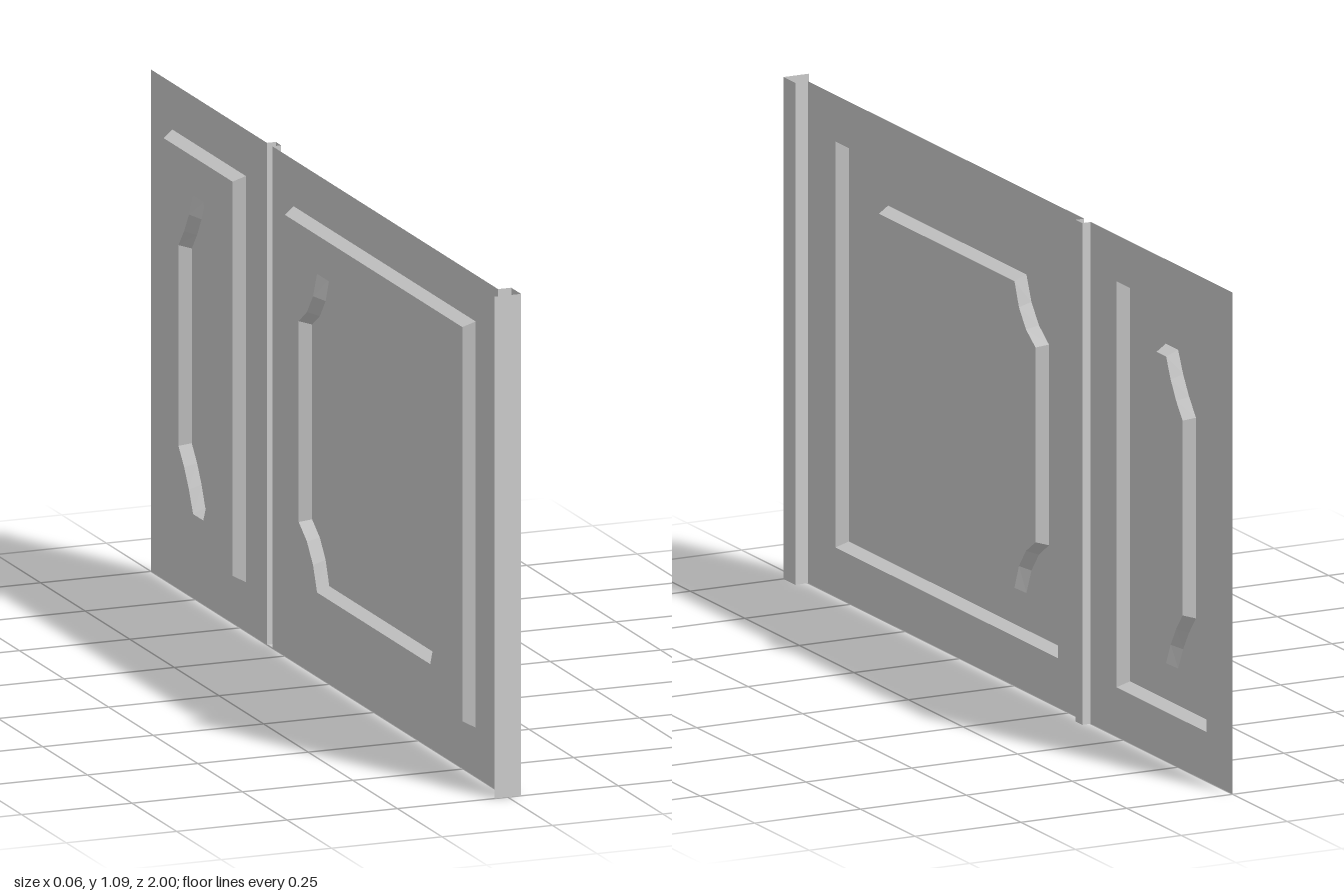
import * as THREE from 'three';

const HEIGHT = 1.09, DEPTH = 0.025, BEVEL = 0.013;
const material = new THREE.MeshStandardMaterial({ color: 0xcccccc, flatShading: true, side: THREE.DoubleSide });

function addMesh(parent, geometry, name) {
  const mesh = new THREE.Mesh(geometry, material);
  mesh.name = name;
  parent.add(mesh);
}

// Outlines are drawn with u = -z across and y up
const rect = (u0, u1, y0, y1, inset = 0) => [
  [u0 + inset, y0 + inset], [u1 - inset, y0 + inset],
  [u1 - inset, y1 - inset], [u0 + inset, y1 - inset],
].map(([u, y]) => new THREE.Vector2(u, y));

// Rectangle with gently scooped corners
function scooped({ u0, u1, y0, y1, cutU, cutY, bulge }, inset = 0) {
  const cu = (u0 + u1) / 2, cy = (y0 + y1) / 2;
  const a = (u1 - u0) / 2 - inset, b = (y1 - y0) / 2 - inset;
  const ca = cutU - inset / 2, cb = cutY - inset / 2;
  const points = [];
  for (const [su, sy] of [[1, 1], [-1, 1], [-1, -1], [1, -1]]) {
    const corner = new THREE.QuadraticBezierCurve(
      new THREE.Vector2(cu + su * a, cy + sy * (b - cb)),
      new THREE.Vector2(cu + su * (a - ca / 2 - bulge), cy + sy * (b - cb / 2 - bulge)),
      new THREE.Vector2(cu + su * (a - ca), cy + sy * b)).getPoints(3);
    points.push(...(su * sy > 0 ? corner : corner.reverse()));
  }
  return points;
}

// Flat upright face at a given x, with an optional opening
function face(outline, x, hole) {
  const shape = new THREE.Shape(outline);
  if (hole) shape.holes.push(new THREE.Path(hole));
  return new THREE.ShapeGeometry(shape).rotateY(Math.PI / 2).translate(x, 0, 0);
}

// Sloped band joining two matching loops
function band(outer, xOuter, inner, xInner) {
  const positions = [];
  outer.forEach((p, i) => {
    const j = (i + 1) % outer.length;
    const A = [xOuter, p.y, -p.x], B = [xOuter, outer[j].y, -outer[j].x];
    const C = [xInner, inner[j].y, -inner[j].x], D = [xInner, inner[i].y, -inner[i].x];
    positions.push(...A, ...B, ...C, ...A, ...C, ...D);
  });
  const geometry = new THREE.BufferGeometry();
  geometry.setAttribute('position', new THREE.Float32BufferAttribute(positions, 3));
  geometry.computeVertexNormals();
  return geometry;
}

// Upright folded strip following [x, z] points
function foldedStrip(path) {
  const positions = [];
  for (let i = 0; i < path.length - 1; i++) {
    const [[x0, z0], [x1, z1]] = [path[i], path[i + 1]];
    positions.push(x0, 0, z0, x1, 0, z1, x1, HEIGHT, z1, x0, 0, z0, x1, HEIGHT, z1, x0, HEIGHT, z0);
  }
  const geometry = new THREE.BufferGeometry();
  geometry.setAttribute('position', new THREE.Float32BufferAttribute(positions, 3));
  geometry.computeVertexNormals();
  return geometry;
}

function panel(name, u0, u1, opening, field) {
  const group = new THREE.Group();
  group.name = name;
  const rim = rect(...opening), floor = rect(...opening, BEVEL);
  const base = scooped(field), top = scooped(field, BEVEL);
  addMesh(group, face(rect(u0, u1, 0, HEIGHT), 0, rim), 'frame');
  addMesh(group, band(rim, 0, floor, -DEPTH), 'recessBevel');
  addMesh(group, face(floor, -DEPTH, base), 'recessFloor');
  addMesh(group, band(base, -DEPTH, top, 0), 'fieldBevel');
  addMesh(group, face(top, 0), 'raisedField');
  return group;
}

export function createModel() {
  const model = new THREE.Group();
  model.name = 'wallPanelling';

  // Wide and narrow panels
  model.add(panel('widePanel', -0.945, 0.32, [-0.82, 0.2, 0.107, 0.989],
    { u0: -0.73, u1: 0.11, y0: 0.2, y1: 0.892, cutU: 0.103, cutY: 0.128, bulge: 0.026 }));
  model.add(panel('narrowPanel', 0.35, 1, [0.468, 0.88, 0.107, 0.989],
    { u0: 0.563, u1: 0.784, y0: 0.2, y1: 0.892, cutU: 0.082, cutY: 0.128, bulge: 0.01 }));

  // End post and the bead between the panels
  addMesh(model, foldedStrip([[-0.03, 1], [0.03, 1], [0.03, 0.945], [0, 0.945]]), 'endPost');
  addMesh(model, foldedStrip([[0, -0.32], [0.02, -0.32], [0.02, -0.35], [0, -0.35]]), 'dividerBead');
  return model;
}
